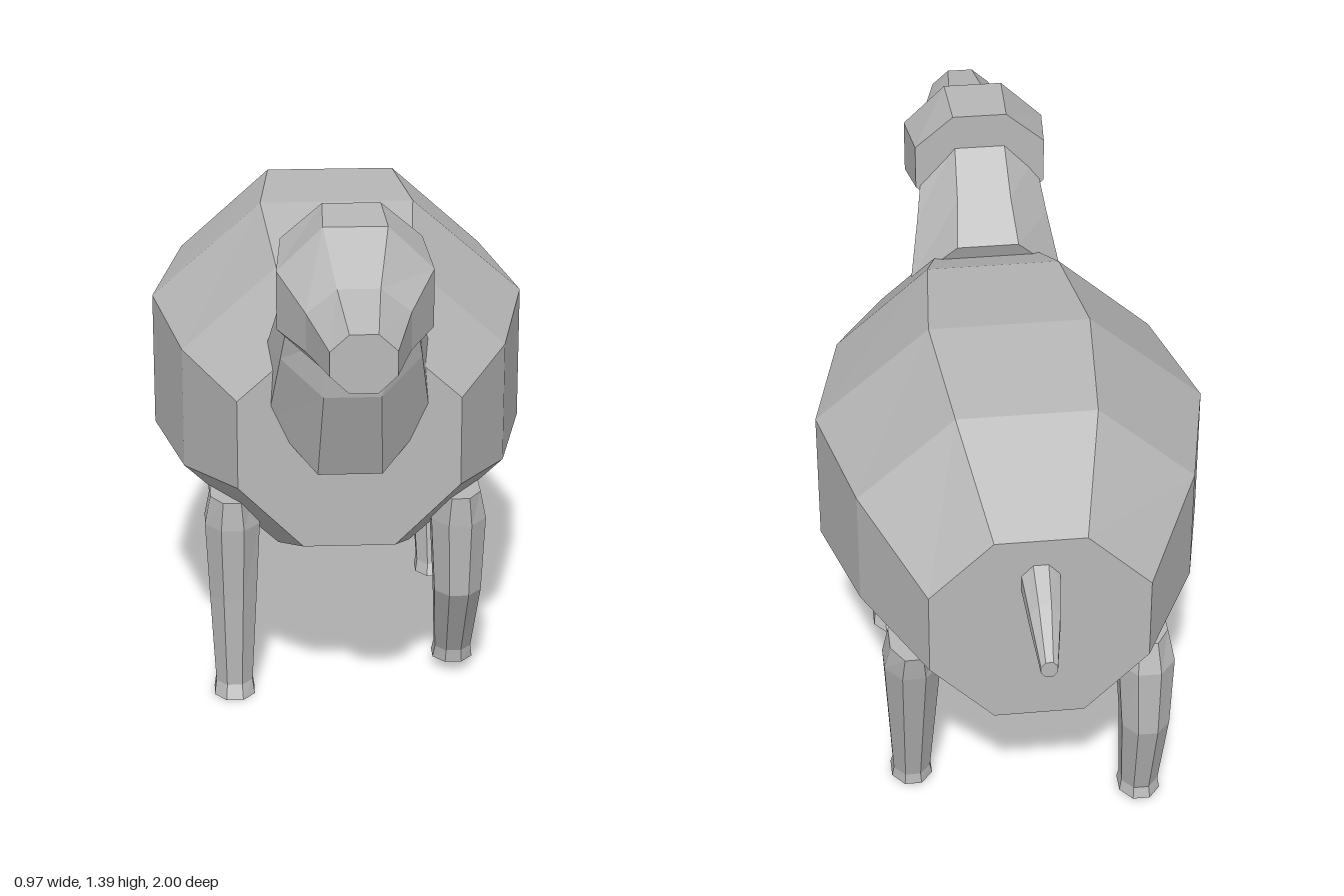
import * as THREE from 'three';

const grey = new THREE.MeshStandardMaterial({ color: 0xb8b8b8, flatShading: true });
grey.name = 'wool grey';

// Closed, faceted skin over rings of points; rings turn anticlockwise seen from the last ring.
function loft(name, rings) {
  const n = rings[0].length;
  const position = [];
  const tri = (a, b, c) => position.push(...a, ...b, ...c);
  for (let r = 0; r < rings.length - 1; r++) {
    const a = rings[r], b = rings[r + 1];
    for (let i = 0; i < n; i++) {
      const j = (i + 1) % n;
      tri(a[i], a[j], b[j]);
      tri(a[i], b[j], b[i]);
    }
  }
  const first = rings[0], last = rings[rings.length - 1];
  for (let i = 1; i < n - 1; i++) {
    tri(first[0], first[i + 1], first[i]);
    tri(last[0], last[i], last[i + 1]);
  }
  const geometry = new THREE.BufferGeometry();
  geometry.setAttribute('position', new THREE.Float32BufferAttribute(position, 3));
  geometry.computeVertexNormals();
  const mesh = new THREE.Mesh(geometry, grey);
  mesh.name = name;
  return mesh;
}

// Upright octagon facing +z: its four heights, half width and half width of the flat top
const upright = ([z, top, upper, lower, bottom, half, flat]) => [
  [flat, bottom, z], [half, lower, z], [half, upper, z], [flat, top, z],
  [-flat, top, z], [-half, upper, z], [-half, lower, z], [-flat, bottom, z],
];

// Tilted octagon between a top point and a bottom point in the yz plane
const tilted = ([zTop, yTop, zBottom, yBottom, half, flat]) => {
  const at = (x, t) => [x, yTop + (yBottom - yTop) * t, zTop + (zBottom - zTop) * t];
  return [
    at(flat, 1), at(half, 0.7), at(half, 0.3), at(flat, 0),
    at(-flat, 0), at(-half, 0.3), at(-half, 0.7), at(-flat, 1),
  ];
};

// Level octagon for a leg
const level = (x, [y, z, halfX, halfZ]) => {
  const ring = [];
  for (let i = 0; i < 8; i++) {
    const a = (i + 0.5) * Math.PI / 4, k = 1 / Math.cos(Math.PI / 8);
    ring.push([x + Math.sin(a) * k * halfX, y, z + Math.cos(a) * k * halfZ]);
  }
  return ring;
};

export function createModel() {
  const model = new THREE.Group();
  model.name = 'sheep';

  // Barrel body
  model.add(loft('body', [
    [-0.83, 1.02, 0.87, 0.65, 0.49, 0.265, 0.11],
    [-0.55, 1.18, 0.965, 0.66, 0.445, 0.41, 0.17],
    [-0.19, 1.195, 0.945, 0.59, 0.34, 0.487, 0.2],
    [0.17, 1.135, 0.92, 0.605, 0.385, 0.41, 0.17],
    [0.43, 1.02, 0.875, 0.645, 0.485, 0.277, 0.115],
  ].map(upright)));

  // Neck, sunk into the chest and the back of the head
  model.add(loft('neck', [
    [0.285, 1.12, 0.46, 0.69, 0.2, 0.08],
    [0.38, 1.205, 0.56, 0.93, 0.172, 0.07],
    [0.495, 1.31, 0.58, 1.08, 0.15, 0.065],
  ].map(tilted)));

  // Head tapering to the muzzle
  model.add(loft('head', [
    [0.485, 1.395, 1.31, 1.19, 1.09, 0.17, 0.07],
    [0.66, 1.39, 1.285, 1.142, 1.04, 0.185, 0.076],
    [0.8, 1.285, 1.228, 1.135, 1.068, 0.122, 0.05],
    [1, 1.245, 1.205, 1.147, 1.105, 0.077, 0.033],
  ].map(upright)));

  // Tail
  model.add(loft('tail', [
    [-1, 0.795, -1, 0.752, 0.02, 0.009],
    [-0.91, 0.895, -0.92, 0.805, 0.036, 0.015],
    [-0.79, 0.975, -0.8, 0.86, 0.05, 0.02],
  ].map(tilted)));

  // Legs, each from foot to hip: height, z, half width, half depth
  const legs = {
    rightFrontLeg: [-1, [
      [0, 0.242, 0.052, 0.065], [0.035, 0.235, 0.047, 0.053], [0.28, 0.23, 0.06, 0.07],
      [0.48, 0.225, 0.07, 0.09], [0.555, 0.225, 0.055, 0.085]]],
    leftFrontLeg: [1, [
      [0.03, 0.112, 0.052, 0.06], [0.065, 0.125, 0.047, 0.05], [0.28, 0.23, 0.06, 0.07],
      [0.48, 0.225, 0.07, 0.085], [0.555, 0.225, 0.055, 0.085]]],
    rightHindLeg: [-1, [
      [0.015, -0.6, 0.052, 0.064], [0.045, -0.6, 0.047, 0.055], [0.29, -0.652, 0.06, 0.07],
      [0.48, -0.63, 0.07, 0.085], [0.555, -0.6, 0.055, 0.085]]],
    leftHindLeg: [1, [
      [0.015, -0.478, 0.052, 0.065], [0.045, -0.485, 0.047, 0.055], [0.29, -0.54, 0.06, 0.07],
      [0.48, -0.58, 0.07, 0.085], [0.555, -0.59, 0.055, 0.09]]],
  };
  for (const [name, [side, sections]] of Object.entries(legs)) {
    model.add(loft(name, sections.map((s) => level(side * 0.29, s))));
  }
  return model;
}
